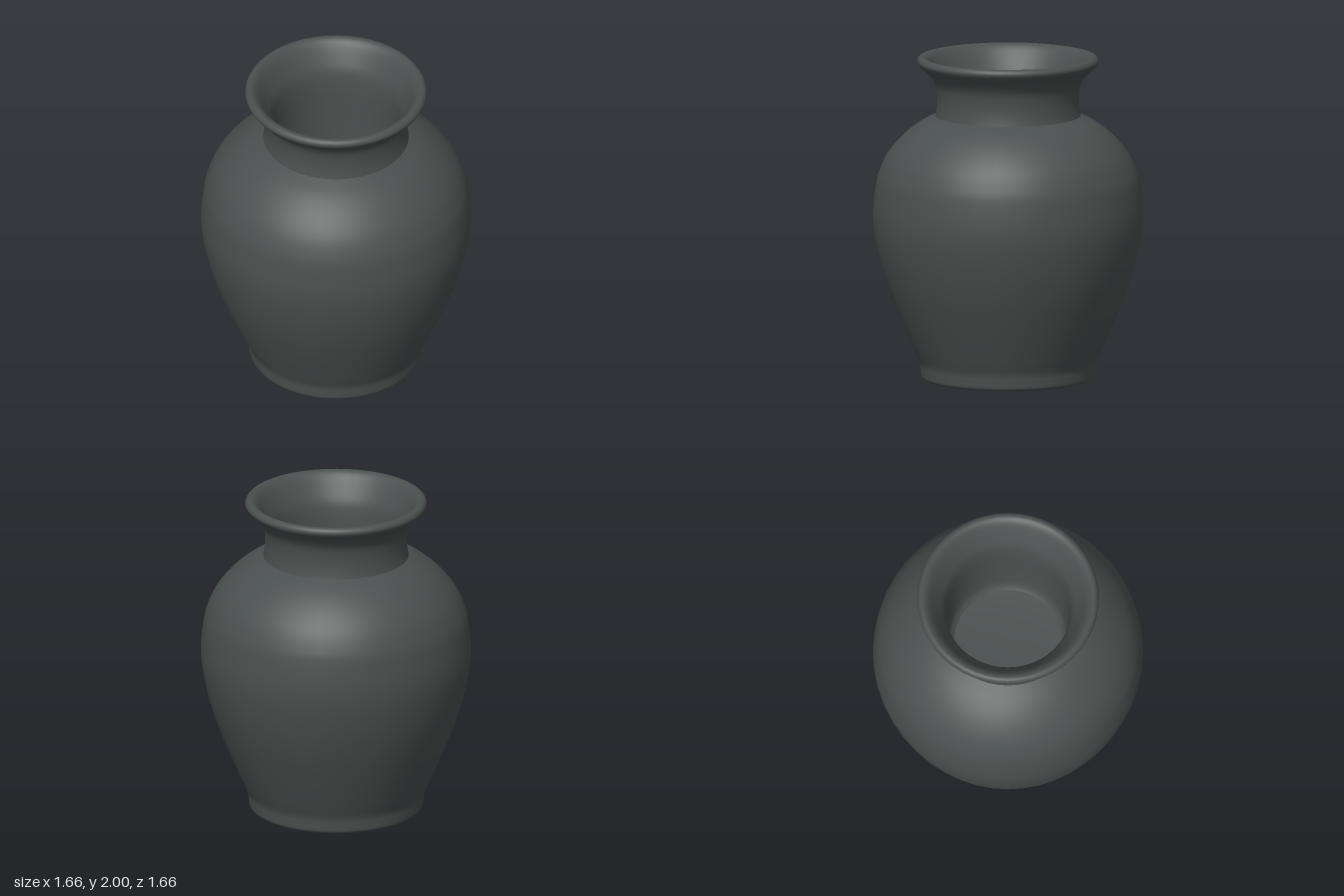
import * as THREE from 'three';

const SEGMENTS = 48;

export function createModel() {
  const group = new THREE.Group();
  group.name = 'vase';
  const clay = new THREE.MeshStandardMaterial({ color: 0x4a504f });
  clay.name = 'dark grey clay';

  // Each part is a turned profile of [radius, height] points, smoothed by a spline
  function turned(name, profile, samples) {
    let points = profile.map(([r, y]) => new THREE.Vector2(r, y));
    if (samples) points = new THREE.SplineCurve(points).getPoints(samples);
    const mesh = new THREE.Mesh(new THREE.LatheGeometry(points, SEGMENTS), clay);
    mesh.name = name;
    group.add(mesh);
  }

  // Flat underside
  turned('base', [[0, 0.01], [0.44, 0.01], [0.5, 0]]);

  // Foot and swelling belly up to the shoulder
  turned('body', [
    [0.5, 0], [0.53, 0.015], [0.537, 0.06], [0.545, 0.11], [0.585, 0.2], [0.67, 0.4],
    [0.745, 0.6], [0.8, 0.8], [0.828, 1.0], [0.812, 1.2], [0.785, 1.3], [0.735, 1.4],
    [0.65, 1.5], [0.55, 1.58], [0.445, 1.635],
  ], 56);

  // Neck, flared lip and the hollow inside, in one run
  turned('neckAndLip', [
    [0.448, 1.625], [0.438, 1.68], [0.435, 1.75], [0.448, 1.83], [0.495, 1.9],
    [0.54, 1.94], [0.557, 1.97], [0.543, 1.995], [0.515, 1.998], [0.48, 1.97],
    [0.435, 1.9], [0.395, 1.82], [0.38, 1.72], [0.375, 1.6], [0.37, 1.4],
    [0.36, 1.26], [0.33, 1.21],
  ], 64);

  // Floor of the hollow
  turned('innerFloor', [[0.33, 1.21], [0.2, 1.2], [0, 1.2]]);

  return group;
}
